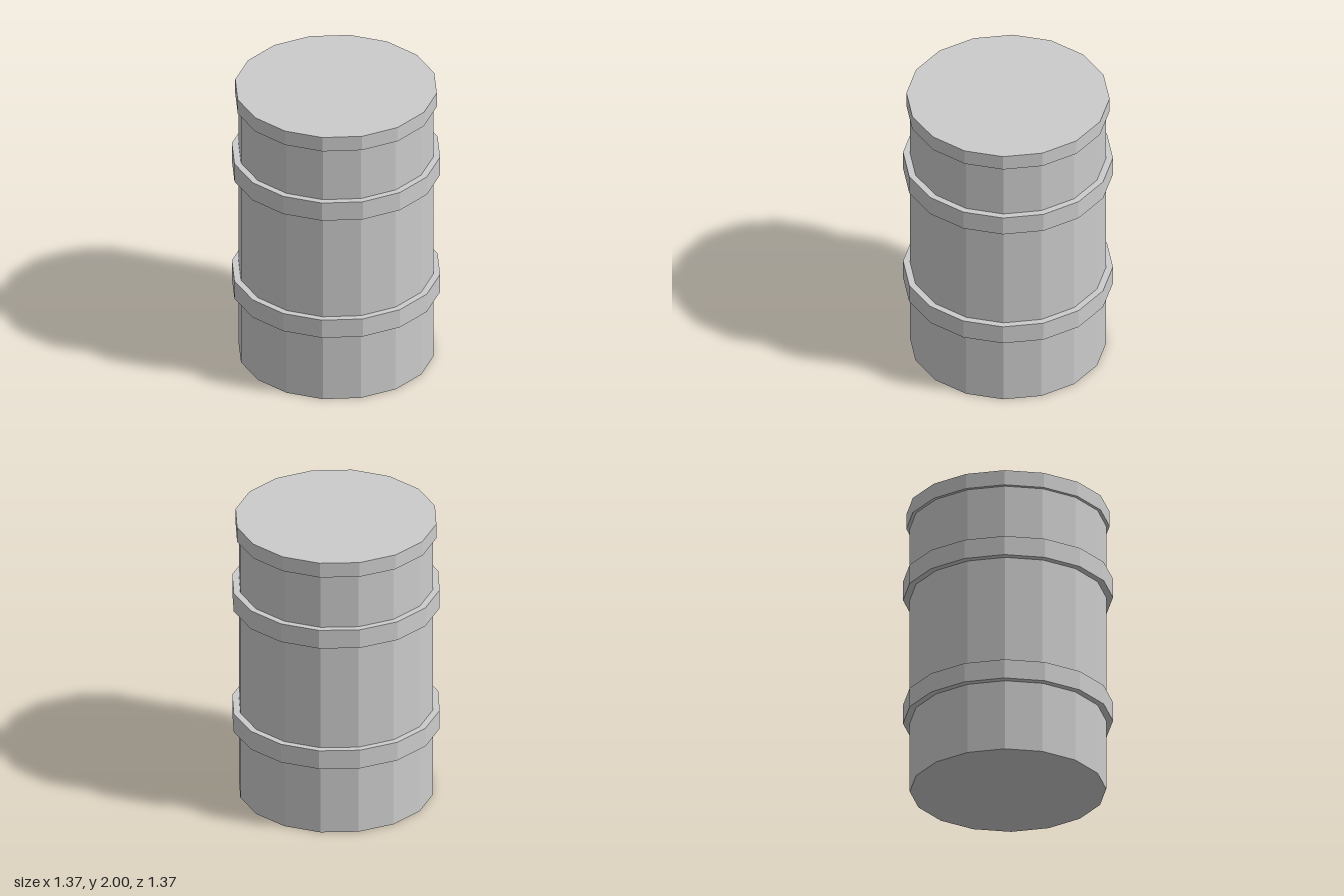
import * as THREE from 'three';

const SIDES = 16;
const BODY_RADIUS = 0.643;

export function createModel() {
  const barrel = new THREE.Group();
  barrel.name = 'barrel';
  const material = new THREE.MeshStandardMaterial({ color: 0xcccccc, flatShading: true });

  function addPart(name, geometry, y) {
    const mesh = new THREE.Mesh(geometry, material);
    mesh.name = name;
    mesh.position.y = y;
    barrel.add(mesh);
  }

  // Solid drum, its top tucked inside the lid
  const bodyHeight = 1.95;
  addPart('body', new THREE.CylinderGeometry(BODY_RADIUS, BODY_RADIUS, bodyHeight, SIDES), bodyHeight / 2);

  // Lid, slightly wider than the drum
  const lidHeight = 0.105;
  addPart('lid', new THREE.CylinderGeometry(0.665, 0.665, lidHeight, SIDES), 2 - lidHeight / 2);

  // Raised hoops wrapped around the drum
  const hoopRadius = 0.687;
  const hoopHalf = 0.067;
  const hoopProfile = [
    new THREE.Vector2(BODY_RADIUS - 0.01, -hoopHalf),
    new THREE.Vector2(hoopRadius, -hoopHalf),
    new THREE.Vector2(hoopRadius, hoopHalf),
    new THREE.Vector2(BODY_RADIUS - 0.01, hoopHalf),
  ];
  for (const [name, y] of [['lowerHoop', 0.558], ['upperHoop', 1.448]]) {
    addPart(name, new THREE.LatheGeometry(hoopProfile, SIDES), y);
  }

  return barrel;
}
